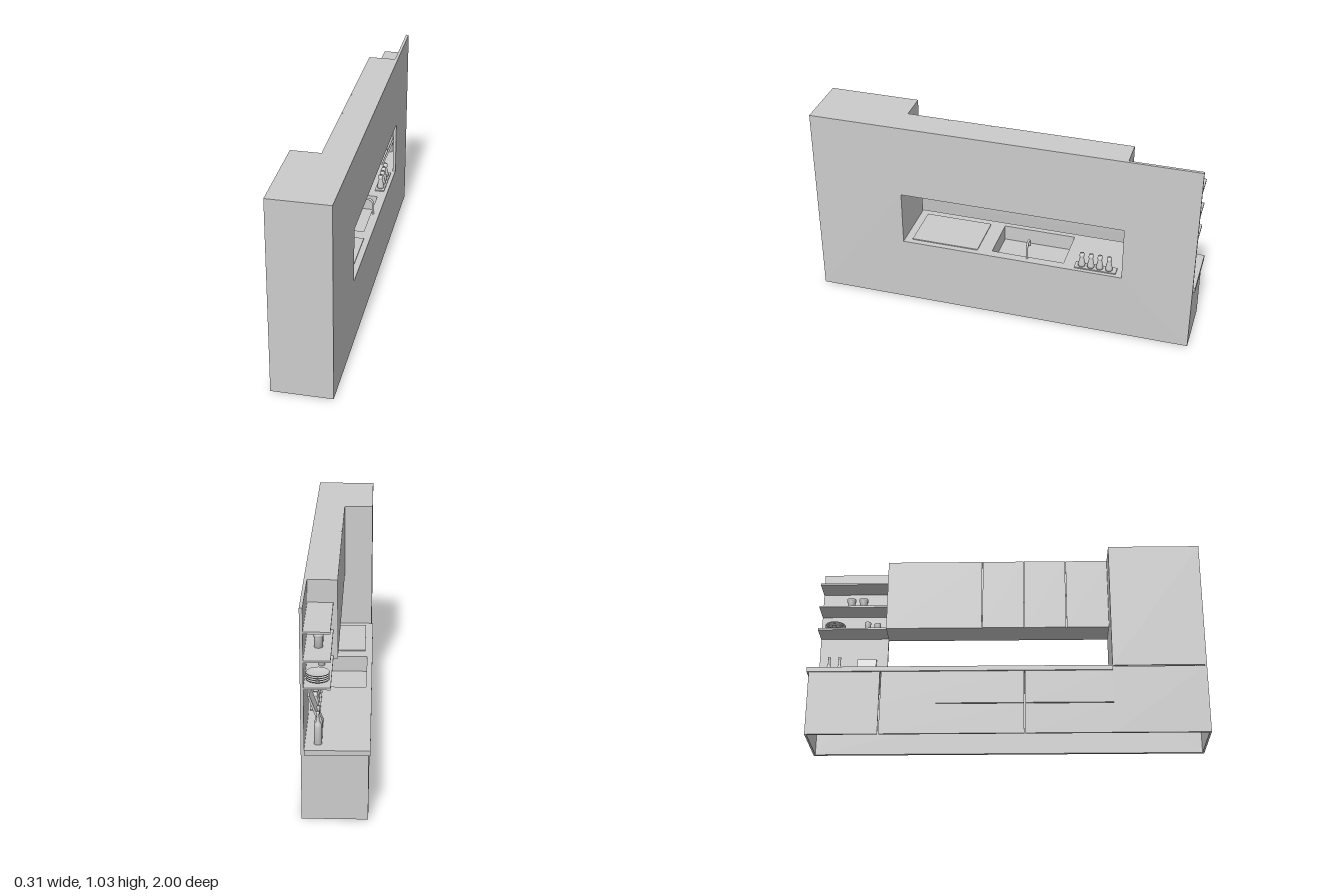
import * as THREE from 'three';

const mat = new THREE.MeshStandardMaterial({ color: 0xcccccc, side: THREE.DoubleSide });

export function createModel() {
  const root = new THREE.Group();
  const add = (name, geo, parent = root) => {
    const m = new THREE.Mesh(geo, mat);
    m.name = name;
    parent.add(m);
    return m;
  };
  // Box given by its two extreme corners
  const box = (name, x0, x1, y0, y1, z0, z1, parent) => {
    const m = add(name, new THREE.BoxGeometry(x1 - x0, y1 - y0, z1 - z0), parent);
    m.position.set((x0 + x1) / 2, (y0 + y1) / 2, (z0 + z1) / 2);
    return m;
  };
  // Rectangle with a rectangular hole, extruded
  const frame = (a0, a1, b0, b1, h, depth) => {
    const rect = (p, u0, u1, v0, v1) =>
      p.moveTo(u0, v0).lineTo(u1, v0).lineTo(u1, v1).lineTo(u0, v1).closePath();
    const shape = new THREE.Shape();
    rect(shape, a0, a1, b0, b1);
    const hole = new THREE.Path();
    rect(hole, ...h);
    shape.holes.push(hole);
    return new THREE.ExtrudeGeometry(shape, { depth, bevelEnabled: false });
  };
  const turned = (name, pts, x, y, z, parent) => {
    const geo = new THREE.LatheGeometry(pts.map(p => new THREE.Vector2(...p)), 24);
    add(name, geo, parent).position.set(x, y, z);
  };

  const H = 1.035, B = -0.99, L = -0.63, R = 0.53, G = 0.003;
  const TOP = 0.357, FRONT = -0.15, T = 0.01;

  // Rear wall with the serving opening
  add('wall', frame(B, 1, 0, H, [L, R, TOP, 0.645], 0.015)
    .rotateY(-Math.PI / 2).translate(0.155, 0, 0));

  // Base cabinet: end panel and fronts, open underneath
  box('baseEndPanel', FRONT, 0.14, 0, 0.333, B, B + T);
  const fronts = [
    [0, 0.333, B + T, L - G],
    [0, 0.157, L + G, 0.09 - G], [0.161, 0.333, L + G, 0.09 - G],
    [0, 0.157, 0.09 + G, R], [0.161, 0.333, 0.09 + G, R],
    [0, 0.353, R, 1 - T],
    [0.359, H - T, R, 1 - T],
  ];
  for (const [y0, y1, z0, z1] of fronts) box('cabinetFront', FRONT, FRONT + T, y0, y1, z0, z1);
  // The left drawer slot stops short of the cabinet end
  box('drawerFiller', FRONT, FRONT + T, 0.157, 0.161, L + G, -0.35);

  // Tall cabinet shell
  box('tallEndPanel', FRONT, 0.14, 0, H, 1 - T, 1);
  box('tallInnerPanel', FRONT, 0.14, TOP, H, R, R + T);
  box('tallTop', FRONT, 0.14, H - T, H, R, 1);

  // Worktop with sink cut-out
  add('worktop', frame(-0.158, 0.14, -1, R, [-0.13, 0.11, -0.32, 0.06], 0.025)
    .rotateX(Math.PI / 2).translate(0, TOP, 0));

  // Sink basin
  const sink = new THREE.Group();
  sink.name = 'sink';
  root.add(sink);
  const floorY = 0.27, s = 0.003;
  box('sinkFloor', -0.13, 0.11, floorY, floorY + s, -0.32, 0.06, sink);
  for (const x of [-0.13 - s, 0.11]) box('sinkSide', x, x + s, floorY, TOP - 0.001, -0.32, 0.06, sink);
  for (const z of [-0.32 - s, 0.06]) box('sinkSide', -0.13, 0.11, floorY, TOP - 0.001, z, z + s, sink);

  // Faucet: post, half-circle bend, short spout
  const path = new THREE.CurvePath();
  const v = (x, y) => new THREE.Vector3(x, y, -0.13);
  path.add(new THREE.LineCurve3(v(0.122, TOP), v(0.122, 0.417)));
  const arc = [];
  for (let i = 0; i <= 12; i++) {
    const a = (i / 12) * Math.PI;
    arc.push(v(0.095 + 0.027 * Math.cos(a), 0.417 + 0.027 * Math.sin(a)));
  }
  path.add(new THREE.CatmullRomCurve3(arc));
  path.add(new THREE.LineCurve3(v(0.068, 0.417), v(0.068, 0.4)));
  add('faucet', new THREE.TubeGeometry(path, 48, 0.006, 12));

  // Hob
  box('hob', -0.12, 0.125, TOP, TOP + 0.005, 0.135, 0.49);

  // Wall cabinet and its doors
  box('wallCabinet', 0.008, 0.14, 0.645, H, L, R);
  const splits = [L, -0.13, 0.09, 0.31, R];
  for (let i = 0; i < 4; i++)
    box('wallCabinetDoor', 0, 0.008, 0.645, H, splits[i] + (i ? 0.002 : 0), splits[i + 1] - (i < 3 ? 0.002 : 0));

  // Open shelves
  for (const y of [0.66, 0.79, 0.925]) box('shelf', 0.02, 0.14, y - 0.01, y, B, L);

  // Jars with lids on the middle shelf
  for (const z of [-0.83, -0.765])
    turned('jar', [[0, 0], [0.02, 0], [0.02, 0.052], [0.024, 0.052], [0.024, 0.065], [0, 0.065]], 0.08, 0.79, z);

  // Plates and cups on the lower shelf
  for (let i = 0; i < 4; i++)
    turned('plate', [[0, 0], [0.034, 0], [0.054, 0.01], [0.052, 0.013], [0.033, 0.005], [0, 0.005]], 0.08, 0.66 + i * 0.01, -0.908);
  for (const [x, z] of [[0.07, -0.735], [0.085, -0.685]])
    turned('cup', [[0, 0], [0.015, 0], [0.017, 0.052], [0.015, 0.052], [0.013, 0.004], [0, 0.004]], x, 0.66, z);

  // Bottles on the worktop
  for (const z of [-0.93, -0.875])
    turned('bottle', [[0, 0], [0.018, 0], [0.018, 0.085], [0.015, 0.1], [0.007, 0.115], [0.006, 0.15],
      [0.008, 0.15], [0.008, 0.16], [0, 0.16]], 0.08, TOP, z);

  // Cutting board leaning on the wall
  const board = add('cuttingBoard', new THREE.BoxGeometry(0.01, 0.175, 0.1));
  board.position.set(0.1, TOP + 0.084, -0.738);
  board.rotation.z = -0.35;

  // Spice mills on a tray
  const mills = new THREE.Group();
  mills.name = 'spiceMills';
  root.add(mills);
  box('tray', 0.085, 0.135, TOP, TOP + 0.006, -0.595, -0.38, mills);
  for (const z of [-0.415, -0.462, -0.508, -0.556])
    turned('mill', [[0, 0], [0.018, 0], [0.018, 0.012], [0.01, 0.05], [0.01, 0.055], [0.013, 0.057],
      [0.011, 0.075], [0, 0.075]], 0.11, TOP + 0.006, z, mills);

  return root;
}
